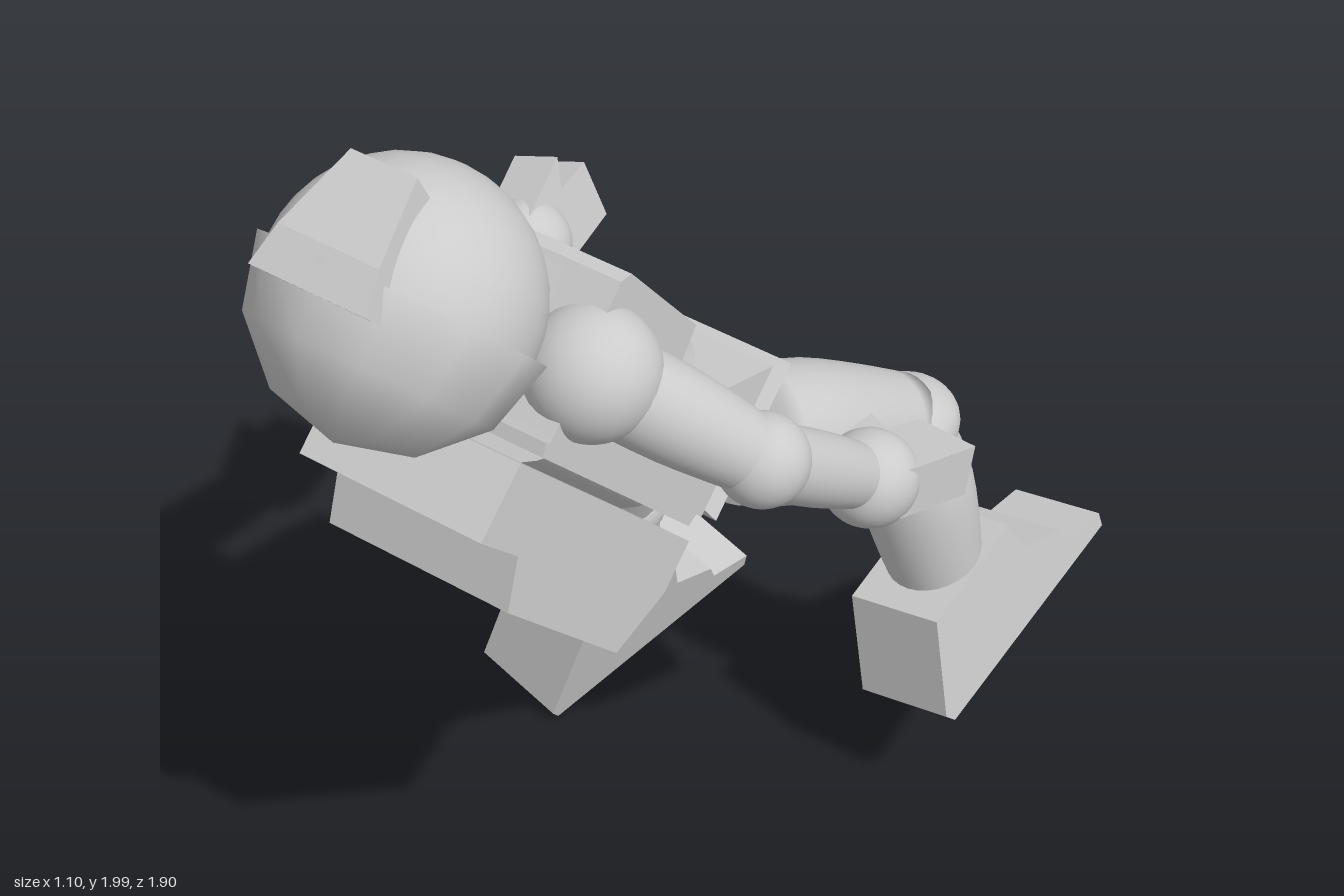
import * as THREE from 'three';

const grey = new THREE.MeshStandardMaterial({ color: 0xcccccc, side: THREE.DoubleSide });
const vec = (p) => new THREE.Vector3(...p);
const UP = new THREE.Vector3(0, 1, 0);

function add(parent, name, geometry) {
  const mesh = new THREE.Mesh(geometry, grey);
  mesh.name = name;
  parent.add(mesh);
  return mesh;
}

// Side profile of [forward, up] points, extruded across the body (forward is -z)
function slab(points, width) {
  const shape = new THREE.Shape(points.map(([f, u]) => new THREE.Vector2(f, u)));
  return new THREE.ExtrudeGeometry(shape, { depth: width, bevelEnabled: false })
    .translate(0, 0, -width / 2).rotateY(Math.PI / 2);
}

// Block between two rectangles, each { y, x: half width, z: [front, back] }
function taperedBlock(top, bottom) {
  const geometry = new THREE.BoxGeometry(2, 2, 2);
  const pos = geometry.attributes.position;
  for (let i = 0; i < pos.count; i++) {
    const r = pos.getY(i) > 0 ? top : bottom;
    pos.setXYZ(i, Math.sign(pos.getX(i)) * r.x, r.y, pos.getZ(i) < 0 ? r.z[0] : r.z[1]);
  }
  geometry.computeVertexNormals();
  return geometry;
}

// Rounded limb from a to b with evenly spaced radii
function limb(parent, name, a, b, radii) {
  const from = vec(a), dir = vec(b).sub(from), length = dir.length();
  const curve = new THREE.SplineCurve(radii.map((r, i) =>
    new THREE.Vector2(r, length * i / (radii.length - 1))));
  const profile = [new THREE.Vector2(0, 0), ...curve.getPoints(8), new THREE.Vector2(0, length)];
  const mesh = add(parent, name, new THREE.LatheGeometry(profile, 28));
  mesh.position.copy(from);
  mesh.quaternion.setFromUnitVectors(UP, dir.normalize());
}

function ball(parent, name, p, r) {
  const mesh = add(parent, name, new THREE.SphereGeometry(r, 32, 20));
  mesh.position.set(...p);
  return mesh;
}

// Mitten with a separate thumb
function hand(parent, name, wrist, forward, thumb) {
  const outline = [[-0.08, 0.0], [-0.1, 0.14], [-0.045, 0.11], [-0.03, 0.2], [0.1, 0.19], [0.08, 0.0]];
  const shape = new THREE.Shape(outline.map(([x, y]) => new THREE.Vector2(x, y)));
  const mesh = add(parent, name,
    new THREE.ExtrudeGeometry(shape, { depth: 0.1, bevelEnabled: false }).translate(0, 0, -0.05));
  const y = vec(forward).normalize();
  const x = vec(thumb).negate();
  x.addScaledVector(y, -x.dot(y)).normalize();
  mesh.quaternion.setFromRotationMatrix(
    new THREE.Matrix4().makeBasis(x, y, new THREE.Vector3().crossVectors(x, y)));
  mesh.position.set(...wrist);
}

function arm(parent, side, p) {
  ball(parent, side + 'Shoulder', p.shoulder, 0.125);
  limb(parent, side + 'UpperArm', p.shoulder, p.elbow, [0.09, 0.088, 0.07]);
  ball(parent, side + 'Elbow', p.elbow, 0.087);
  limb(parent, side + 'Forearm', p.elbow, p.wrist, [0.07, 0.07, 0.058]);
  ball(parent, side + 'Wrist', p.wrist, 0.093);
  hand(parent, side + 'Hand', p.wrist, p.forward, p.thumb);
}

function leg(parent, side, p) {
  limb(parent, side + 'Thigh', p.hip, p.knee, [0.13, 0.14, 0.125, 0.1]);
  const knee = ball(parent, side + 'Knee', p.knee, 0.117);
  knee.scale.y = 0.75;
  knee.quaternion.setFromUnitVectors(UP, vec(p.knee).sub(vec(p.ankle)).normalize());
  limb(parent, side + 'Shin', p.knee, p.ankle, [0.095, 0.115, 0.108, 0.09]);
  const boot = add(parent, side + 'Boot', slab([[0, 0], [0.58, 0], [0.58, 0.035], [0.47, 0.065],
    [0.45, 0.11], [0.335, 0.17], [0.31, 0.26], [0.035, 0.25], [-0.02, 0.03]], 0.205));
  boot.position.set(...p.heel);
  boot.rotation.set(...p.bootTurn, 'ZYX');
}

export function createModel() {
  const model = new THREE.Group();
  model.name = 'spacesuitFigure';

  // Head, torso and pack share one frame, tilted 45 degrees, with its origin at the head
  const body = new THREE.Group();
  body.name = 'upperBody';
  body.position.set(0, 1.71, 0.69);
  body.rotation.x = Math.PI / 4;
  model.add(body);

  // Helmet: smooth globe, faceted rear shell and brow plate
  ball(body, 'helmetGlobe', [0, 0, 0], 0.245);
  add(body, 'helmetShell',
    new THREE.SphereGeometry(0.266, 12, 3, 0, Math.PI * 2, 0, Math.PI / 2).rotateX(Math.PI / 2));
  const brow = slab([[-0.06, 0.215], [0.16, 0.165], [0.18, 0.22], [0.02, 0.262], [-0.06, 0.262]], 0.25);
  const bp = brow.attributes.position;
  for (let i = 0; i < bp.count; i++) {
    bp.setX(i, Math.sign(bp.getX(i)) * (0.112 + 0.23 * bp.getZ(i)));
  }
  brow.computeVertexNormals();
  add(body, 'browPlate', brow);

  // Torso
  add(body, 'collar', taperedBlock(
    { y: -0.17, x: 0.09, z: [-0.165, 0.09] }, { y: -0.27, x: 0.11, z: [-0.17, 0.1] }));
  add(body, 'chest', slab([[-0.1, -0.26], [-0.1, -0.56], [0.12, -0.56], [0.185, -0.55],
    [0.206, -0.27], [0.185, -0.25]], 0.44));
  add(body, 'backPlate', slab([[-0.115, -0.26], [-0.115, -0.87], [0.0, -0.87], [0.0, -0.26]], 0.45));
  add(body, 'backPlateRim', slab([[-0.14, -0.275], [-0.14, -0.86], [-0.1, -0.87], [-0.1, -0.26]], 0.43));
  const waist = add(body, 'waist', new THREE.CylinderGeometry(0.18, 0.18, 0.4, 32));
  waist.position.y = -0.66;
  add(body, 'abdomen', taperedBlock(
    { y: -0.66, x: 0.215, z: [-0.05, 0.1] }, { y: -0.87, x: 0.225, z: [-0.19, 0.1] }));

  // Pelvis: short rim over a tapering lower block
  add(body, 'pelvisRim', taperedBlock(
    { y: -0.88, x: 0.215, z: [-0.185, 0.1] }, { y: -0.91, x: 0.235, z: [-0.21, 0.11] }));
  add(body, 'pelvis', taperedBlock(
    { y: -0.91, x: 0.235, z: [-0.21, 0.11] }, { y: -1.08, x: 0.14, z: [-0.18, 0.07] }));

  // Stepped life-support pack behind the torso
  add(body, 'backpack', slab([[-0.165, -0.907], [-0.165, -0.236], [-0.315, -0.232], [-0.311, -0.363],
    [-0.408, -0.416], [-0.405, -0.839], [-0.27, -0.907]], 0.408));

  arm(model, 'left', {
    shoulder: [0.2, 1.5, 0.44], elbow: [0.415, 1.285, 0.235], wrist: [0.445, 1.075, -0.06],
    forward: [0, -0.27, -1], thumb: [-1, 0, 0],
  });
  arm(model, 'right', {
    shoulder: [-0.2, 1.5, 0.44], elbow: [-0.375, 1.27, 0.19], wrist: [-0.425, 1.18, -0.14],
    forward: [-0.22, 0.25, -1], thumb: [-0.3, 1, 0],
  });

  leg(model, 'left', {
    hip: [0.16, 1.05, -0.04], knee: [0.25, 0.87, -0.455], ankle: [0.315, 0.48, -0.52],
    heel: [0.358, 0.245, -0.385], bootTurn: [0.225, 0, 0.17],
  });
  leg(model, 'right', {
    hip: [-0.15, 1.06, -0.06], knee: [-0.26, 0.62, -0.195], ankle: [-0.375, 0.24, -0.26],
    heel: [-0.457, 0.036, -0.14], bootTurn: [0.14, -0.07, -0.28],
  });

  return model;
}
